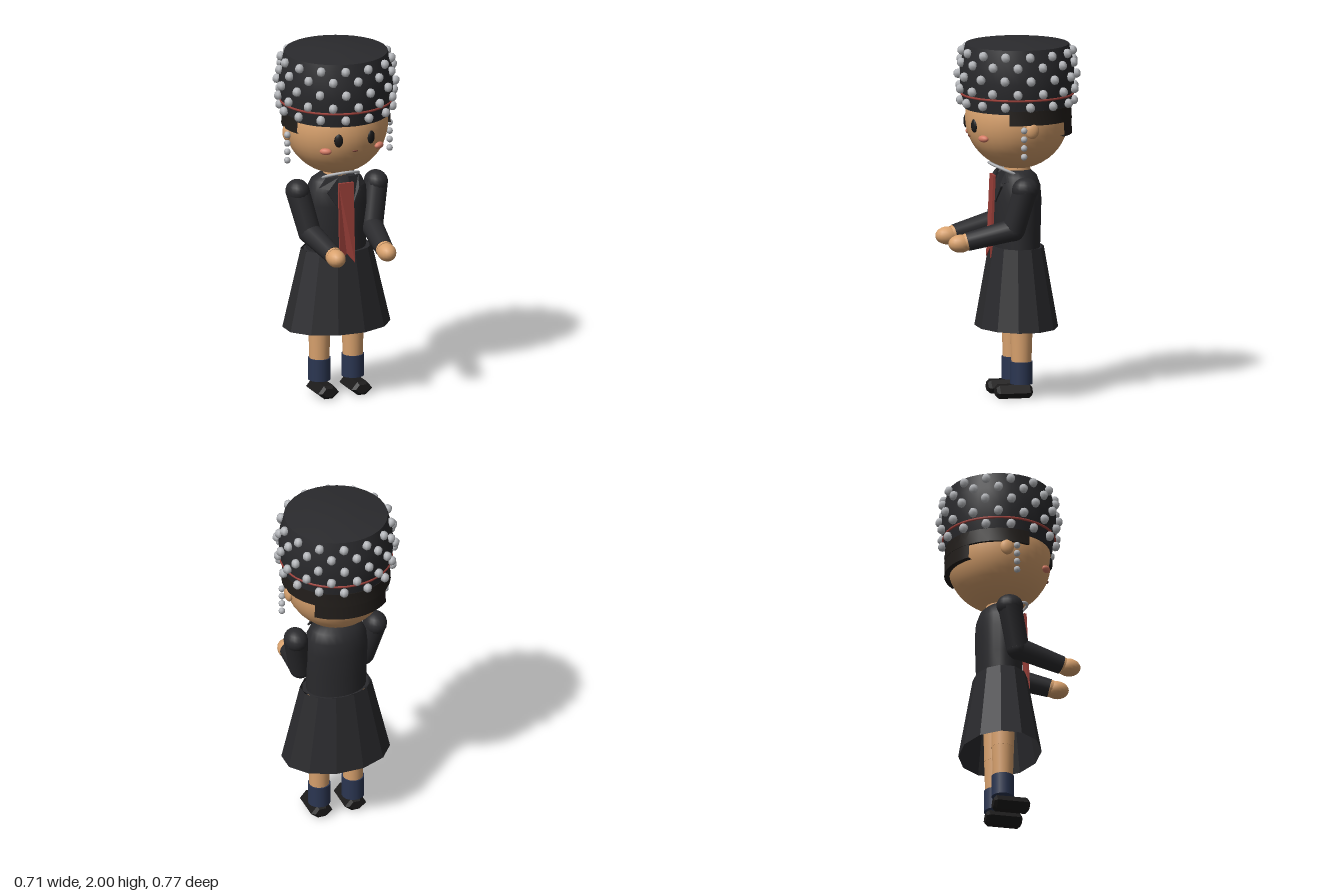
import * as THREE from 'three';
import { toCreasedNormals } from 'three/addons/utils/BufferGeometryUtils.js';

const mat = (color) => new THREE.MeshStandardMaterial({ color, side: THREE.DoubleSide });
const black = mat(0x2a2a2d), hairMat = mat(0x211d1a), skin = mat(0xd9a26e), navy = mat(0x2b3652),
  red = mat(0x9c403a), silver = mat(0xb6b8bc), pink = mat(0xd67c66), dark = mat(0x1b1a1a);
const V = (x, y, z) => new THREE.Vector3(x, y, z);
const CZ = -0.035; // depth of the body axis

export function createModel() {
  const model = new THREE.Group();

  const add = (name, geo, material, x = 0, y = 0, z = 0, parent = model) => {
    const m = new THREE.Mesh(geo, material);
    m.name = name;
    m.position.set(x, y, z);
    parent.add(m);
    return m;
  };
  const lathe = (pts, seg = 28, start = 0, len = Math.PI * 2, crease = 0.6) => toCreasedNormals(
    new THREE.LatheGeometry(pts.map((p) => new THREE.Vector2(...p)), seg, start, len), crease);
  const ball = (name, material, r, x, y, z, parent) => {
    const m = add(name, new THREE.SphereGeometry(1, 18, 12), material, x, y, z, parent);
    m.scale.set(...r);
    return m;
  };
  // tapered limb between two points
  const limb = (name, material, a, b, ra, rb, parent) => {
    const d = b.clone().sub(a);
    const mid = a.clone().lerp(b, 0.5);
    const m = add(name, new THREE.CylinderGeometry(rb, ra, d.length(), 16), material, mid.x, mid.y, mid.z, parent);
    m.quaternion.setFromUnitVectors(V(0, 1, 0), d.normalize());
    return m;
  };

  // head and hair
  add('head', new THREE.SphereGeometry(0.288, 32, 24), skin, 0, 1.558, CZ);
  add('neck', new THREE.CylinderGeometry(0.07, 0.08, 0.16, 16), skin, 0, 1.25, CZ);
  const hairBand = (name, y, half) => add(name,
    lathe([[0.26, y], [0.303, y], [0.298, 1.63], [0.26, 1.63], [0.26, y]], 20, Math.PI - half, half * 2), hairMat, 0, 0, CZ);
  hairBand('sideHair', 1.55, 1.95);
  hairBand('backHair', 1.47, 0.77);

  // face
  add('mouth', new THREE.SphereGeometry(1, 10, 6), mat(0x7a4436), 0, 1.462, 0.236).scale.set(0.018, 0.006, 0.008);
  for (const s of [1, -1]) {
    ball('eye', dark, [0.025, 0.038, 0.014], s * 0.097, 1.53, 0.232).rotation.y = s * 0.35;
    ball('cheek', pink, [0.034, 0.019, 0.02], s * 0.16, 1.465, 0.196).rotation.y = s * 0.6;
    ball('ear', skin, [0.022, 0.046, 0.038], s * 0.288, 1.52, -0.052);
    const earring = new THREE.Group();
    earring.name = 'earring';
    model.add(earring);
    for (let i = 0; i < 4; i++) {
      add('earringBead', new THREE.SphereGeometry(0.019, 8, 6), silver, s * 0.307, 1.525 - i * 0.049, 0, earring);
    }
  }

  // hat with staggered rows of beads
  const hat = new THREE.Group();
  hat.name = 'hat';
  hat.position.z = CZ;
  model.add(hat);
  add('hatBody', lathe([[0, 1.61], [0.291, 1.61], [0.308, 1.69], [0.318, 1.78], [0.312, 1.87],
    [0.287, 1.968], [0.15, 1.99], [0, 2]], 32), black, 0, 0, 0, hat);
  const band = add('hatBand', new THREE.TorusGeometry(0.308, 0.007, 6, 40), red, 0, 1.69, 0, hat);
  band.rotation.x = Math.PI / 2;
  [[1.93, 0.305], [1.872, 0.317], [1.8, 0.327], [1.725, 0.323], [1.652, 0.312]].forEach(([y, r], row) => {
    for (let i = 0; i < 14; i++) {
      const a = ((i + (row % 2 ? 0 : 0.5)) / 14) * Math.PI * 2;
      add('hatBead', new THREE.SphereGeometry(0.027, 6, 5), silver, Math.sin(a) * r, y, Math.cos(a) * r, hat);
    }
  });

  // jacket, skirt
  const jacket = add('jacket', lathe([[0.17, 0.82], [0.175, 0.95], [0.18, 1.1], [0.172, 1.18],
    [0.145, 1.235], [0.1, 1.265], [0, 1.272]], 24, 0, Math.PI * 2, 1), black, 0, 0, CZ);
  jacket.scale.z = 0.73;
  const skirt = add('skirt', toCreasedNormals(new THREE.CylinderGeometry(0.204, 0.31, 0.45, 12, 1, true, Math.PI / 12), 0.3),
    black, 0, 0.615, -0.03);
  skirt.scale.z = 0.73;
  add('skirtWaist', new THREE.CircleGeometry(0.195, 12).rotateX(-Math.PI / 2), black, 0, 0.835, -0.03).scale.z = 0.72;

  // shirt collar ring
  const collar = add('collarRing', new THREE.TorusGeometry(0.1, 0.008, 8, 32), silver, 0, 1.264, 0.03);
  collar.rotation.x = -Math.PI / 2 + 0 - 0.42;

  // flat plates: lapels and forked tie
  const plate = (pts, depth) => new THREE.ExtrudeGeometry(
    new THREE.Shape(pts.map((p) => new THREE.Vector2(...p))), { depth, bevelEnabled: false });
  for (const s of [1, -1]) {
    const lapel = add('lapel', plate([[0.04, 1.09], [0.1, 1.185], [0.09, 1.2], [0.135, 1.21], [0.095, 1.262], [0.03, 1.265]]
      .map(([x, y]) => [s * x, y]), 0.012), black);
    // wrap the lapel onto the chest
    const p = lapel.geometry.attributes.position;
    for (let i = 0; i < p.count; i++) {
      const x = p.getX(i), y = p.getY(i);
      p.setZ(i, p.getZ(i) + 0.092 - 2.2 * x * x - Math.max(0, y - 1.19) * 0.4);
    }
    lapel.geometry.computeVertexNormals();
  }
  const tie = plate([[-0.045, 1.24], [-0.045, 0.78], [0, 0.835], [0.045, 0.78], [0.045, 1.24]], 0.014);
  const tp = tie.attributes.position;
  for (let i = 0; i < tp.count; i++) tp.setZ(i, tp.getZ(i) + 0.097 + Math.max(0, 0.86 - tp.getY(i)) * 0.25);
  tie.computeVertexNormals();
  add('tie', tie, red);

  for (const s of [1, -1]) {
    // arm reaching forward
    const arm = new THREE.Group();
    arm.name = s > 0 ? 'leftArm' : 'rightArm';
    model.add(arm);
    const shoulder = V(s * 0.235, 1.185, -0.025), elbow = V(s * 0.186, 0.955, 0.03), wrist = V(s * 0.154, 0.892, 0.285);
    ball('shoulder', black, [0.066, 0.066, 0.075], ...shoulder.toArray(), arm);
    limb('upperArm', black, shoulder, elbow, 0.067, 0.064, arm);
    ball('elbow', black, [0.064, 0.064, 0.064], ...elbow.toArray(), arm);
    limb('forearm', black, elbow, wrist, 0.062, 0.051, arm);
    limb('wrist', skin, wrist, V(s * 0.153, 0.889, 0.3), 0.049, 0.047, arm);
    ball('hand', skin, [0.051, 0.05, 0.068], s * 0.152, 0.883, 0.324, arm);

    // leg, sock and shoe
    const leg = new THREE.Group();
    leg.name = s > 0 ? 'leftLeg' : 'rightLeg';
    leg.position.set(s * 0.1, 0, CZ);
    model.add(leg);
    add('thigh', new THREE.CylinderGeometry(0.066, 0.063, 0.44, 18), skin, 0, 0.6, 0, leg);
    add('shin', new THREE.CylinderGeometry(0.062, 0.055, 0.22, 18), skin, 0, 0.28, 0, leg);
    add('sock', new THREE.CylinderGeometry(0.063, 0.063, 0.125, 18), navy, 0, 0.1425, 0, leg);
    const sole = new THREE.Shape([[-0.018, 0.016], [0.018, 0.016], [0.042, 0.036], [0.02, 0.062], [-0.02, 0.062], [-0.042, 0.036]]
      .map((p) => new THREE.Vector2(...p)));
    add('shoe', new THREE.ExtrudeGeometry(sole, { depth: 0.17, bevelThickness: 0.016, bevelSize: 0.015, bevelSegments: 1 }),
      dark, 0, 0, -0.04, leg);
  }
  return model;
}
